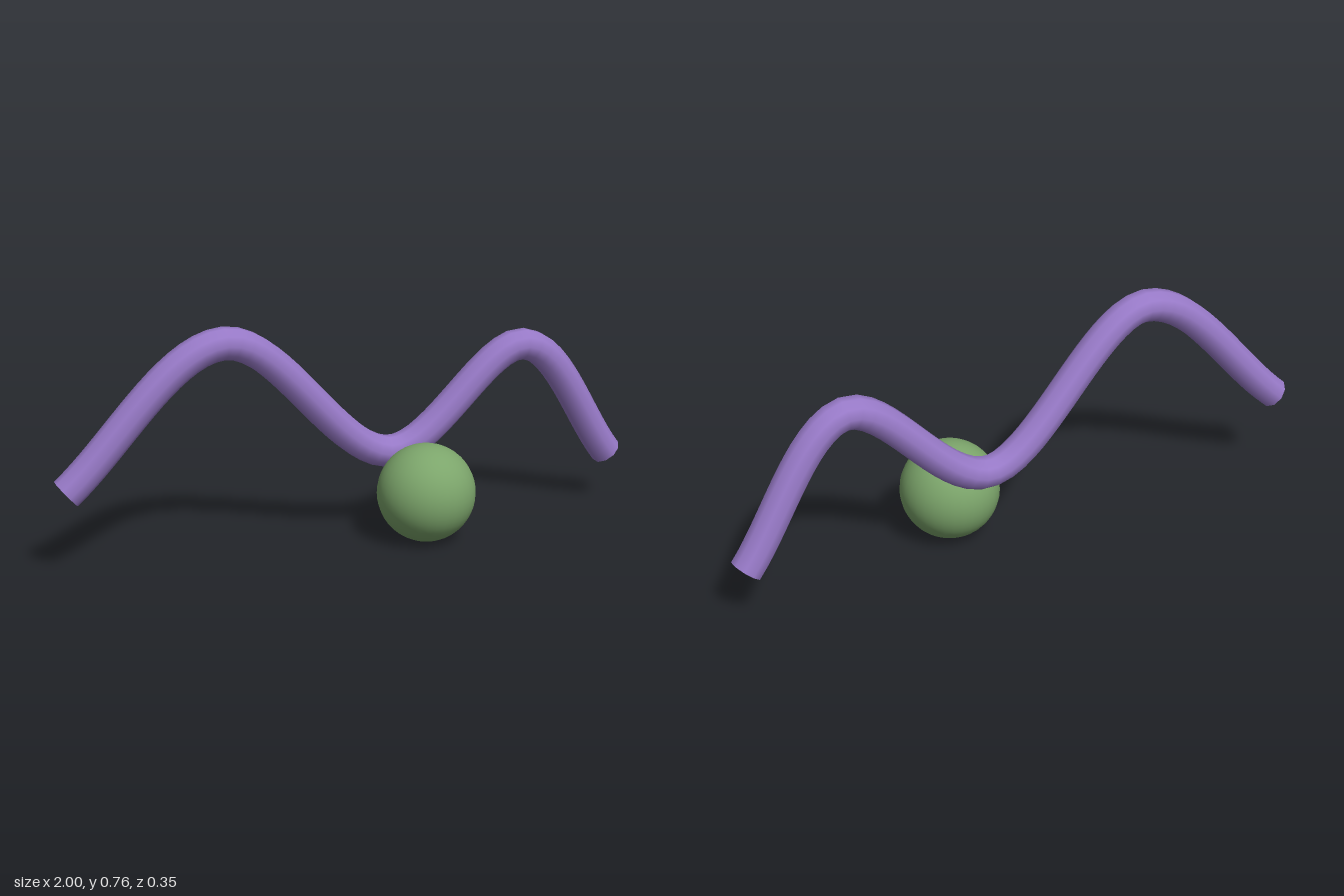
import * as THREE from 'three';

export function createModel() {
  const group = new THREE.Group();
  const purple = new THREE.MeshStandardMaterial({ color: 0x987ac8, side: THREE.DoubleSide });
  purple.name = 'purple';
  const green = new THREE.MeshStandardMaterial({ color: 0x7ca56b });
  green.name = 'green';

  // Open-ended wavy tube, leaning slightly forward at its crests
  const path = new THREE.CatmullRomCurve3([
    [-0.967, 0.275, -0.126],
    [-0.455, 0.707, -0.095],
    [0.13, 0.275, -0.122],
    [0.605, 0.596, -0.095],
    [0.957, 0.169, -0.122],
  ].map((p) => new THREE.Vector3(...p)));
  const tube = new THREE.Mesh(new THREE.TubeGeometry(path, 64, 0.053, 10, false), purple);
  tube.name = 'wavyTube';
  group.add(tube);

  // Ball resting under the dip of the tube
  const ball = new THREE.Mesh(new THREE.SphereGeometry(0.162, 32, 24), green);
  ball.name = 'ball';
  ball.position.set(0.198, 0.163, 0.014);
  group.add(ball);

  return group;
}
